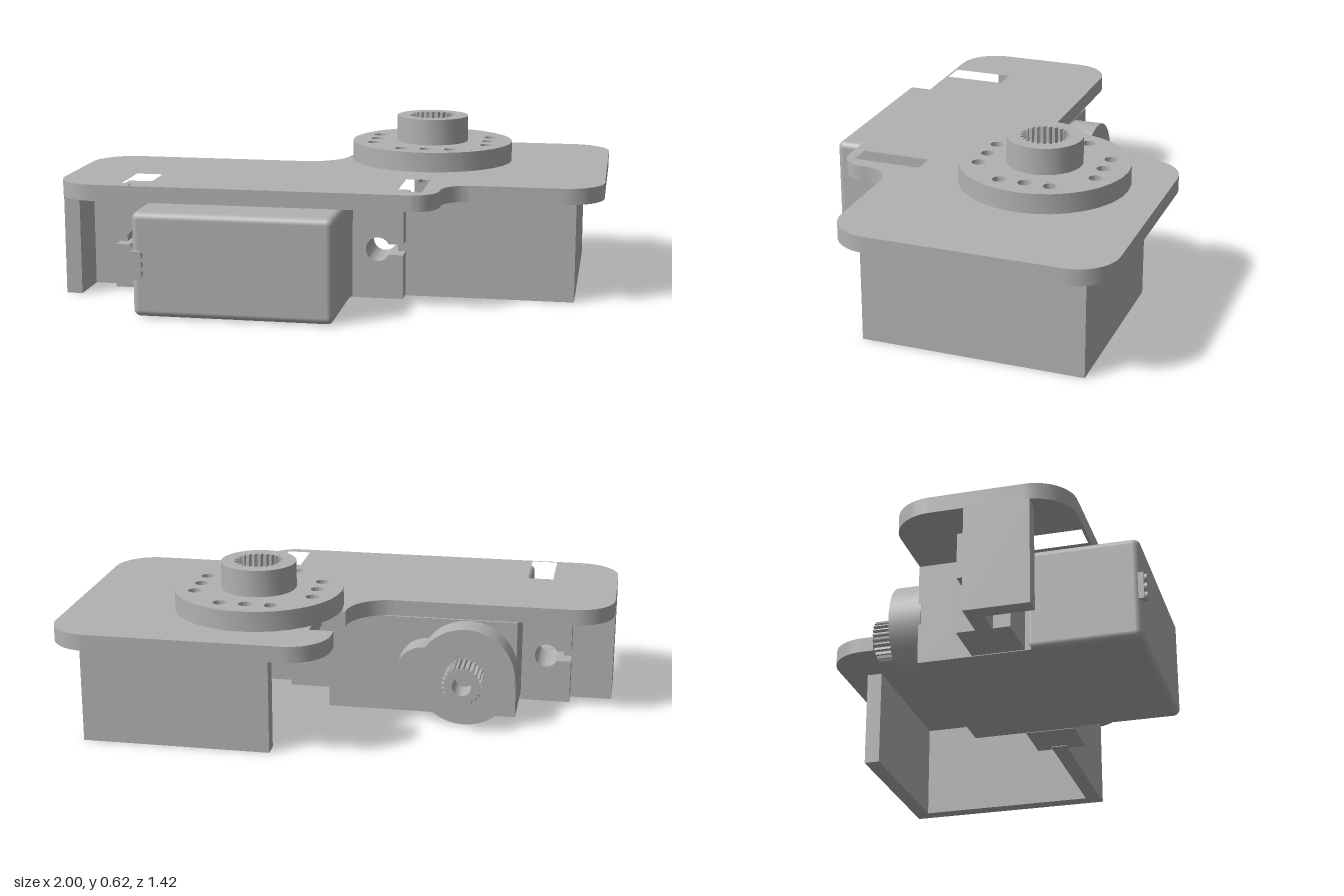
import * as THREE from 'three';
import { toCreasedNormals } from 'three/addons/utils/BufferGeometryUtils.js';
import { RoundedBoxGeometry } from 'three/addons/geometries/RoundedBoxGeometry.js';

export function createModel() {
  const model = new THREE.Group();
  model.name = 'servoBracket';
  const grey = new THREE.MeshStandardMaterial({ color: 0xb2b2b2 });
  grey.name = 'grey';

  const add = (name, geometry) => {
    const mesh = new THREE.Mesh(geometry, grey);
    mesh.name = name;
    model.add(mesh);
    return mesh;
  };
  const box = (name, x0, x1, y0, y1, z0, z1) =>
    add(name, new THREE.BoxGeometry(x1 - x0, y1 - y0, z1 - z0)
      .translate((x0 + x1) / 2, (y0 + y1) / 2, (z0 + z1) / 2));
  const extrude = (shape, depth) => toCreasedNormals(
    new THREE.ExtrudeGeometry(shape, { depth, bevelEnabled: false, curveSegments: 16 }), 0.6);
  // horizontal slab: shapes are drawn in x and -z
  const slab = (name, shape, y0, y1) =>
    add(name, extrude(shape, y1 - y0).rotateX(-Math.PI / 2).translate(0, y0, 0));
  const circle = (x, y, r, Type = THREE.Path) => new Type().absarc(x, y, r, 0, Math.PI * 2, false);

  // outline of [x, z, corner radius] points
  const rounded = (points, Type = THREE.Shape) => {
    const path = new Type();
    points.forEach(([x, z, r], i) => {
      const n = points.length;
      const p = new THREE.Vector2(x, -z);
      const toward = (j, d) => {
        const q = new THREE.Vector2(points[(j + n) % n][0], -points[(j + n) % n][1]);
        return q.sub(p).normalize().multiplyScalar(d).add(p);
      };
      const a = toward(i - 1, r), b = toward(i + 1, r);
      if (i === 0) path.moveTo(a.x, a.y); else path.lineTo(a.x, a.y);
      if (r > 0) {
        const c = toward(i - 1, r * 0.4477), d = toward(i + 1, r * 0.4477);
        path.bezierCurveTo(c.x, c.y, d.x, d.y, b.x, b.y);
      }
    });
    path.closePath();
    return path;
  };
  const slot = (x0, x1, z0, z1) =>
    rounded([[x0, z0, 0], [x1, z0, 0], [x1, z1, 0], [x0, z1, 0]], THREE.Path);
  // toothed ring outline
  const spline = (x, y, rIn, rOut, teeth, Type) => {
    const pts = [];
    for (let i = 0; i < teeth * 4; i++) {
      const t = (i / (teeth * 4)) * Math.PI * 2, r = i % 4 < 2 ? rOut : rIn;
      pts.push(new THREE.Vector2(x + r * Math.cos(t), y + r * Math.sin(t)));
    }
    return new Type(pts);
  };

  // mounting plate
  const hx = 0.31, hy = 0.26; // horn axis in x and -z
  const plate = rounded([
    [-1, -0.11, 0.15], [-0.02, -0.11, 0.16], [-0.02, -0.28, 0], [0.07, -0.28, 0],
    [0.07, -0.51, 0], [-0.02, -0.51, 0], [-0.02, -0.71, 0.15], [1, -0.71, 0.15],
    [1, 0.3, 0.15], [0.42, 0.3, 0.1], [0.42, 0.52, 0.1], [-1, 0.52, 0.15],
  ]);
  plate.holes.push(slot(-0.75, -0.65, 0.27, 0.51), slot(0.27, 0.36, 0.21, 0.48), circle(hx, hy, 0.05));

  // horn disc with four groups of three holes; middle ones pass through the plate
  const disc = circle(hx, hy, 0.315, THREE.Shape);
  disc.holes.push(circle(hx, hy, 0.05));
  for (let side = 0; side < 4; side++) {
    const c = Math.round(Math.cos(side * Math.PI / 2)), s = Math.round(Math.sin(side * Math.PI / 2));
    for (const o of [-0.095, 0, 0.095]) {
      const x = hx + 0.222 * c - o * s, y = hy + 0.222 * s + o * c;
      disc.holes.push(circle(x, y, 0.025));
      if (o === 0) plate.holes.push(circle(x, y, 0.025));
    }
  }
  slab('mountingPlate', plate, 0.385, 0.445);
  slab('hornDisc', disc, 0.445, 0.52);

  // horn hub with splined bore
  const hub = circle(hx, hy, 0.14, THREE.Shape);
  hub.holes.push(spline(hx, hy, 0.08, 0.092, 24, THREE.Path));
  slab('hornHub', hub, 0.52, 0.62);

  // skirt walls under the plate
  box('rightWall', 0.84, 0.9, 0, 0.385, -0.61, 0.21);
  box('backWall', 0.2, 0.84, 0, 0.385, -0.61, -0.55);
  box('frontWall', 0.24, 0.84, 0, 0.385, 0.15, 0.21);
  box('leftWall', -1, -0.94, 0, 0.385, 0.16, 0.39);
  box('leftReturnWall', -0.94, -0.81, 0, 0.385, 0.16, 0.22);

  // servo body and rounded rear cover
  box('servoBody', -0.645, 0.075, 0.003, 0.382, -0.11, 0.3);
  add('servoCover', new RoundedBoxGeometry(0.73, 0.382, 0.41, 4, 0.025).translate(-0.285, 0.193, 0.485));

  // mounting ears with a keyhole open to the outside
  const ear = () => {
    const s = new THREE.Shape();
    const a = Math.asin(0.02 / 0.045);
    s.moveTo(0, 0.003);
    s.lineTo(0.19, 0.003);
    s.lineTo(0.19, 0.17);
    s.lineTo(0.095 + 0.045 * Math.cos(a), 0.17);
    s.absarc(0.095, 0.19, 0.045, -a, a, true);
    s.lineTo(0.19, 0.21);
    s.lineTo(0.19, 0.382);
    s.lineTo(0, 0.382);
    s.closePath();
    return extrude(s, 0.19);
  };
  add('rightEar', ear().translate(0.08, 0, 0.09));
  add('leftEar', ear().rotateY(Math.PI).translate(-0.65, 0, 0.28));

  // gear housing and splined output shaft
  const along = (r, z0, z1, x, y) =>
    new THREE.CylinderGeometry(r, r, z1 - z0, 40).rotateX(Math.PI / 2).translate(x, y, (z0 + z1) / 2);
  add('gearHousing', along(0.188, -0.22, -0.1, -0.462, 0.192));
  add('idlerHousing', along(0.11, -0.219, -0.1, -0.307, 0.192));
  const shaft = spline(-0.462, 0.192, 0.066, 0.076, 24, THREE.Shape);
  shaft.holes.push(circle(-0.462, 0.192, 0.036));
  add('outputShaft', extrude(shaft, 0.1).translate(0, 0, -0.32));

  // cable exit with three wires
  box('cableExit', -0.65, -0.625, 0.145, 0.245, 0.68, 0.7);
  for (let i = -1; i <= 1; i++) add('wire', along(0.017, 0.67, 0.71, -0.625, 0.195 + i * 0.034));
  return model;
}
